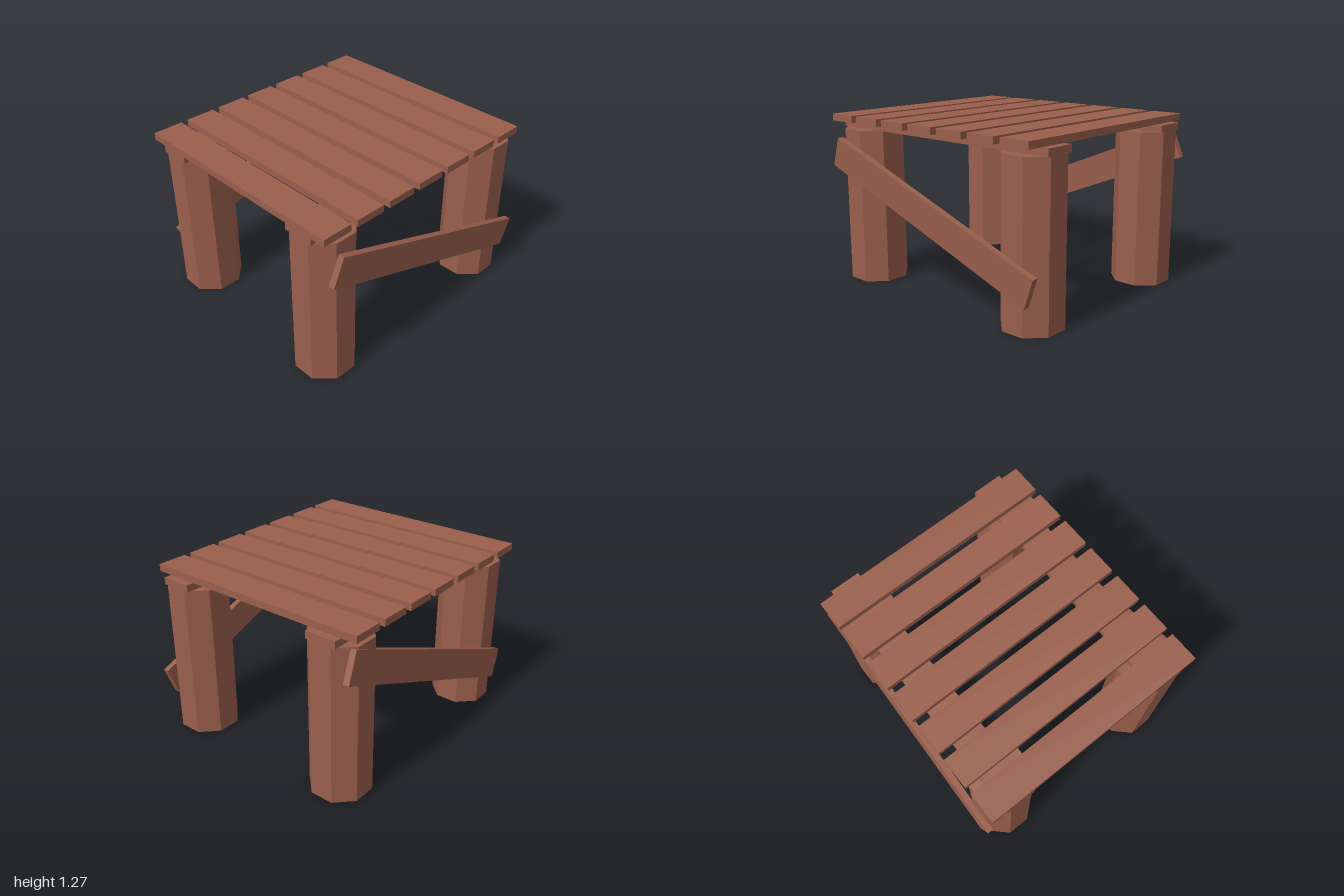
import * as THREE from 'three';

export function createModel() {
  const model = new THREE.Group();
  const wood = new THREE.MeshStandardMaterial({ color: 0x9a5f4c, flatShading: true });
  wood.name = 'reddish brown wood';

  const add = (name, geometry, x, y, z) => {
    const mesh = new THREE.Mesh(geometry, wood);
    mesh.name = name;
    mesh.position.set(x, y, z);
    model.add(mesh);
    return mesh;
  };

  // Octagonal legs, flat sides facing the front and sides
  const legHeight = 1.17;
  const legRadius = 0.207 / Math.cos(Math.PI / 8);
  const legGeometry = new THREE.CylinderGeometry(legRadius, legRadius, legHeight, 8);
  legGeometry.rotateY(Math.PI / 8);
  for (const [end, z] of [['front', 0.642], ['back', -0.66]]) {
    add(end + 'RightLeg', legGeometry, -0.793, legHeight / 2, z);
    add(end + 'LeftLeg', legGeometry, 0.793, legHeight / 2, z);
  }

  // Cross rails lying on the legs
  const railGeometry = new THREE.BoxGeometry(2, 0.053, 0.232);
  add('frontRail', railGeometry, 0, 1.197, 0.638);
  add('backRail', railGeometry, 0, 1.197, -0.662);

  // Table top planks
  const plankGeometry = new THREE.BoxGeometry(0.23, 0.052, 1.766);
  for (let i = 0; i < 7; i++) {
    add('plank' + (i + 1), plankGeometry, -0.885 + i * 0.2853, 1.249, -0.013);
  }

  // Diagonal braces, nailed on slightly tilted
  const braceGeometry = new THREE.BoxGeometry(2, 0.23, 0.046);
  const tilt = THREE.MathUtils.degToRad(2.5);
  add('frontBrace', braceGeometry, 0.02, 0.66, 0.876)
    .rotation.set(tilt, 0, THREE.MathUtils.degToRad(-19.9));
  add('backBrace', braceGeometry, 0.03, 0.673, -0.872)
    .rotation.set(tilt, 0, THREE.MathUtils.degToRad(22.6));

  return model;
}
